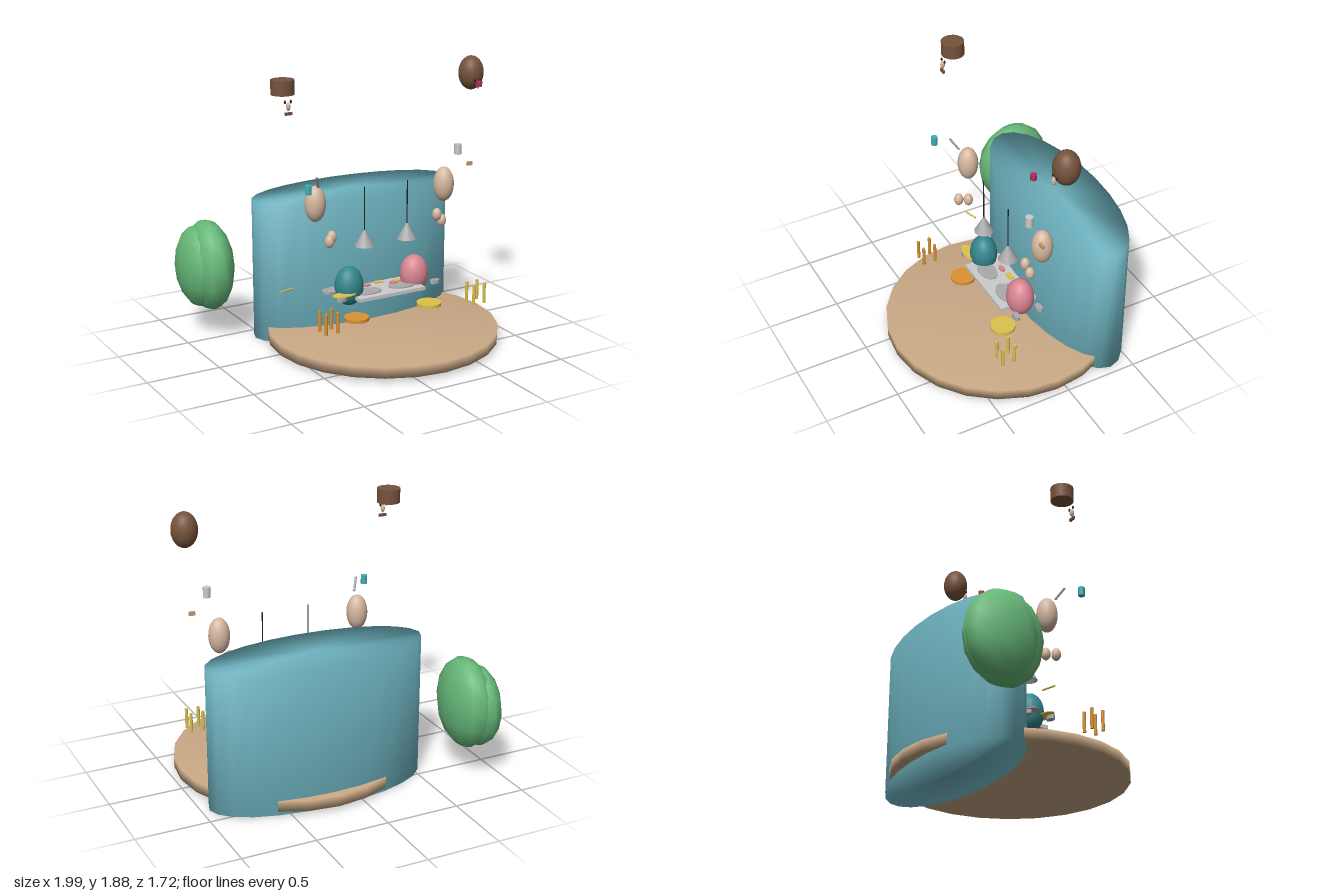
import * as THREE from 'three';
import { mergeVertices } from 'three/addons/utils/BufferGeometryUtils.js';

const material = (color) => new THREE.MeshStandardMaterial({ color, side: THREE.DoubleSide });
const teal = material(0x6fb5c2), wood = material(0xc9a885), leaf = material(0x66b878);
const skin = material(0xd6b8a0), hair = material(0x76533c), metal = material(0xaaaaaa);
const pale = material(0xd8d8d8), black = material(0x222222), orange = material(0xdb9233);
const yellow = material(0xdcc24c), cyan = material(0x3fb0b8), red = material(0xb03058);
const darkTeal = material(0x34878e), pink = material(0xd98592), tan = material(0xc8a070);

// Weld the rims so that shading flows over the edges
function soften(geometry) {
  geometry.deleteAttribute('normal');
  geometry.deleteAttribute('uv');
  const welded = mergeVertices(geometry, 1e-4);
  welded.computeVertexNormals();
  return welded;
}

export function createModel() {
  const group = new THREE.Group();
  const cx = 0.193; // the dining set is symmetric about this x

  function add(name, geometry, mat, pos, scale = [1, 1, 1]) {
    const mesh = new THREE.Mesh(geometry, mat);
    mesh.name = name;
    mesh.position.set(...pos);
    mesh.scale.set(...scale);
    group.add(mesh);
    return mesh;
  }
  const ball = (name, mat, pos, radii, w = 24, h = 16) =>
    add(name, new THREE.SphereGeometry(1, w, h), mat, pos, radii);
  const drum = (name, mat, pos, rx, height, rz = rx, sides = 20) =>
    add(name, new THREE.CylinderGeometry(1, 1, 1, sides), mat, pos, [rx, height, rz]);
  const box = (name, mat, pos, size) => add(name, new THREE.BoxGeometry(...size), mat, pos);

  // A thin rod between two points
  function rod(name, mat, from, to, radius) {
    const a = new THREE.Vector3(...from), b = new THREE.Vector3(...to);
    const mesh = add(name, new THREE.CylinderGeometry(radius, radius, a.distanceTo(b), 8), mat,
      a.clone().add(b).multiplyScalar(0.5).toArray());
    mesh.quaternion.setFromUnitVectors(new THREE.Vector3(0, 1, 0), b.sub(a).normalize());
  }

  // Round floor and the oval wall block
  const floor = new THREE.CylinderGeometry(0.785, 0.785, 0.075, 24);
  add('floor', soften(floor), wood, [cx, 0.0635, 0.07]);
  const wall = new THREE.CylinderGeometry(1, 1, 0.97, 24);
  wall.scale(0.755, 1, 0.3);
  add('wall', soften(wall), teal, [cx, 0.485, -0.355]);

  // Bush: two overlapping lobes
  ball('bushLobe', leaf, [-0.8, 0.505, -0.575], [0.152, 0.312, 0.272], 12, 8);
  ball('bushLobe', leaf, [-0.86, 0.49, -0.62], [0.138, 0.28, 0.24], 12, 8);

  // Two seated figures: bodies, heads, hands
  ball('body', darkTeal, [-0.065, 0.415, 0.06], [0.1, 0.135, 0.092]);
  ball('body', pink, [0.448, 0.415, 0.06], [0.1, 0.135, 0.092]);
  for (const x of [-0.31, 0.69]) ball('head', skin, [x, 1.015, 0.045], [0.071, 0.121, 0.07]);
  for (const pos of [[-0.26, 0.777, 0.145], [-0.215, 0.787, 0.095], [0.595, 0.828, 0.11], [0.64, 0.778, 0.1]])
    ball('hand', skin, pos, [0.032, 0.044, 0.032], 16, 12);

  // Hair and faces
  drum('flatHair', hair, [-0.53, 1.805, 0.032], 0.077, 0.095);
  ball('roundHair', hair, [0.91, 1.762, 0.025], [0.086, 0.116, 0.086]);
  for (const x of [-0.53, 0.91]) {
    for (const side of [-1, 1])
      ball('eye', black, [x + side * 0.021, 1.722, 0.103], [0.007, 0.012, 0.007], 10, 8);
    ball('nose', skin, [x, 1.693, 0.108], [0.013, 0.028, 0.016], 12, 8);
  }
  box('mouth', hair, [-0.53, 1.647, 0.11], [0.05, 0.018, 0.014]);

  // Small floating items
  drum('cup', cyan, [-0.455, 1.17, 0.222], 0.022, 0.06);
  drum('cup', pale, [0.722, 1.28, 0.16], 0.025, 0.07);
  drum('cup', red, [0.848, 1.72, 0.21], 0.021, 0.035);
  box('snack', tan, [0.838, 1.16, 0.135], [0.04, 0.026, 0.018]);
  rod('utensil', metal, [-0.357, 1.222, 0.155], [-0.32, 1.142, 0.105], 0.008);
  rod('stick', yellow, [-0.525, 0.42, -0.038], [-0.425, 0.42, -0.066], 0.006);

  // Table top with dishes
  box('tableTop', pale, [cx, 0.349, 0.07], [0.515, 0.024, 0.265]);
  for (const x of [0.06, 0.326]) drum('plate', metal, [x, 0.365, 0.1], 0.1, 0.008, 0.06);
  drum('sidePlate', metal, [-0.15, 0.385, 0.005], 0.09, 0.006, 0.05);
  drum('sidePlate', yellow, [-0.14, 0.385, 0.13], 0.09, 0.006, 0.045);
  drum('food', pink, [0.1, 0.373, 0.008], 0.032, 0.012, 0.018);
  drum('food', pink, [0.29, 0.373, 0.045], 0.032, 0.012, 0.018);
  box('napkin', yellow, [0.2, 0.378, 0], [0.06, 0.008, 0.035]);
  drum('food', yellow, [0.34, 0.373, 0.02], 0.04, 0.012, 0.022);

  // Parts mirrored on both sides of the table
  for (const [side, mat] of [[-1, orange], [1, yellow]]) {
    drum('seat', mat, [cx + side * 0.285, 0.237, 0.207], 0.084, 0.022);
    for (const dx of [0.53, 0.615])
      for (const z of [0.302, 0.387])
        drum('chairLeg', mat, [cx + side * dx, 0.31, z], 0.011, 0.14, 0.011, 10);
    for (const z of [-0.02, 0.152])
      drum('shoe', metal, [cx + side * 0.367, 0.365, z], 0.037, 0.026, 0.022);

    // Hanging lamp
    const x = cx + side * 0.166;
    add('lampShade', new THREE.CylinderGeometry(0.006, 0.065, 0.11, 24, 1, true), metal, [x, 0.747, 0.105]);
    drum('lampCord', black, [x, 0.95, 0.105], 0.004, 0.3, 0.004, 8);
  }
  return group;
}
